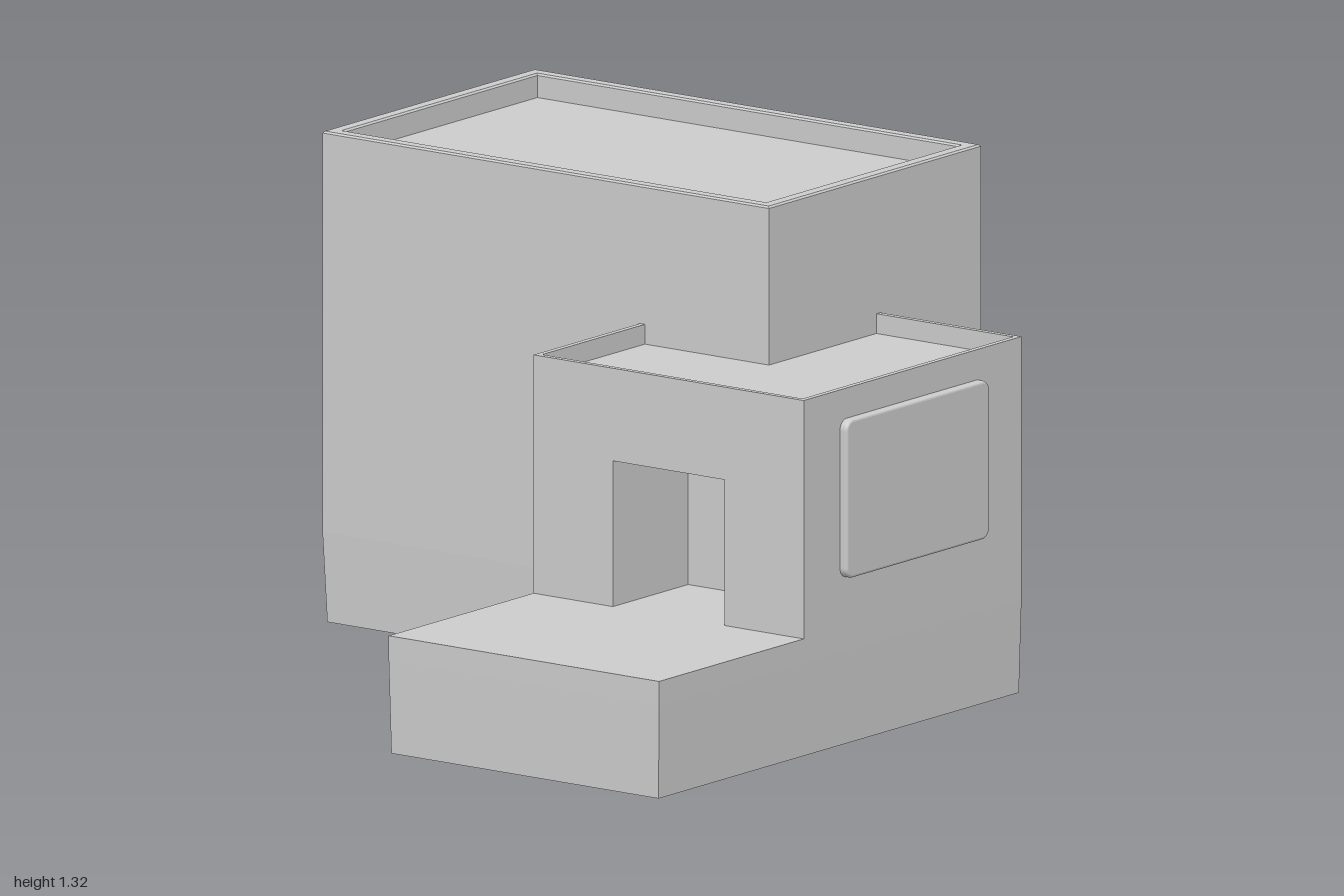
import * as THREE from 'three';

const material = new THREE.MeshStandardMaterial({ color: 0xcccccc, flatShading: true });

// Closed solid lofted through rectangles: each ring is [inset, y] of the given plan
function ringSolid(x0, x1, z0, z1, rings) {
  const corners = rings.map(([d, y]) => [
    [x0 + d, y, z1 - d], [x1 - d, y, z1 - d], [x1 - d, y, z0 + d], [x0 + d, y, z0 + d],
  ]);
  const points = [];
  const quad = (a, b, c, d) => points.push(...a, ...b, ...c, ...a, ...c, ...d);
  for (let r = 0; r < corners.length - 1; r++) {
    for (let i = 0; i < 4; i++) {
      const j = (i + 1) % 4;
      quad(corners[r][i], corners[r][j], corners[r + 1][j], corners[r + 1][i]);
    }
  }
  const [a, b, c, d] = corners[0];
  quad(d, c, b, a);
  quad(...corners[corners.length - 1]);
  const geometry = new THREE.BufferGeometry();
  geometry.setAttribute('position', new THREE.Float32BufferAttribute(points, 3));
  geometry.computeVertexNormals();
  return geometry;
}

function roundedRect(w, h, r) {
  const s = new THREE.Shape();
  const x = w / 2, y = h / 2;
  s.absarc(x - r, y - r, r, 0, Math.PI / 2);
  s.absarc(-x + r, y - r, r, Math.PI / 2, Math.PI);
  s.absarc(-x + r, -y + r, r, Math.PI, Math.PI * 1.5);
  s.absarc(x - r, -y + r, r, Math.PI * 1.5, Math.PI * 2);
  return s;
}

export function createModel() {
  const group = new THREE.Group();
  const add = (name, geometry) => {
    const mesh = new THREE.Mesh(geometry, material);
    mesh.name = name;
    group.add(mesh);
    return mesh;
  };

  // Tall block: tapered foot, bevelled parapet, sunken roof
  add('mainBuilding', ringSolid(-0.975, 0.487, -1, -0.085, [
    [0.009, 0.01], [0, 0.252], [0, 1.319], [0.005, 1.324],
    [0.035, 1.324], [0.04, 1.319], [0.04, 1.26],
  ]));

  // Terrace that also carries the annex
  add('terrace', ringSolid(0.065, 0.95, -0.565, 1, [
    [0.005, 0], [0, 0.25], [0, 0.315],
  ]));

  // Annex walls, with the doorway recess cut into the plan
  const plan = new THREE.Shape([
    [0.065, 0.565], [0.065, -0.375], [0.325, -0.375], [0.325, -0.05],
    [0.69, -0.05], [0.69, -0.375], [0.95, -0.375], [0.95, 0.565],
  ].map(([x, y]) => new THREE.Vector2(x, y)));
  const walls = new THREE.ExtrudeGeometry(plan, { depth: 0.39, bevelEnabled: false });
  add('annexWalls', walls.rotateX(-Math.PI / 2).translate(0, 0.315, 0));

  // Annex top, with a thin parapet
  add('annexRoof', ringSolid(0.065, 0.95, -0.565, 0.375, [
    [0, 0.705], [0, 0.953], [0.016, 0.953], [0.016, 0.9],
  ]));

  // Raised rounded panel on the annex side
  const panel = new THREE.ExtrudeGeometry(roundedRect(0.604, 0.41, 0.022), {
    depth: 0.017, bevelThickness: 0.008, bevelSize: 0.007, bevelSegments: 3, curveSegments: 6,
  });
  add('sidePanel', panel.rotateY(Math.PI / 2).translate(0.948, 0.66, -0.09));

  return group;
}
